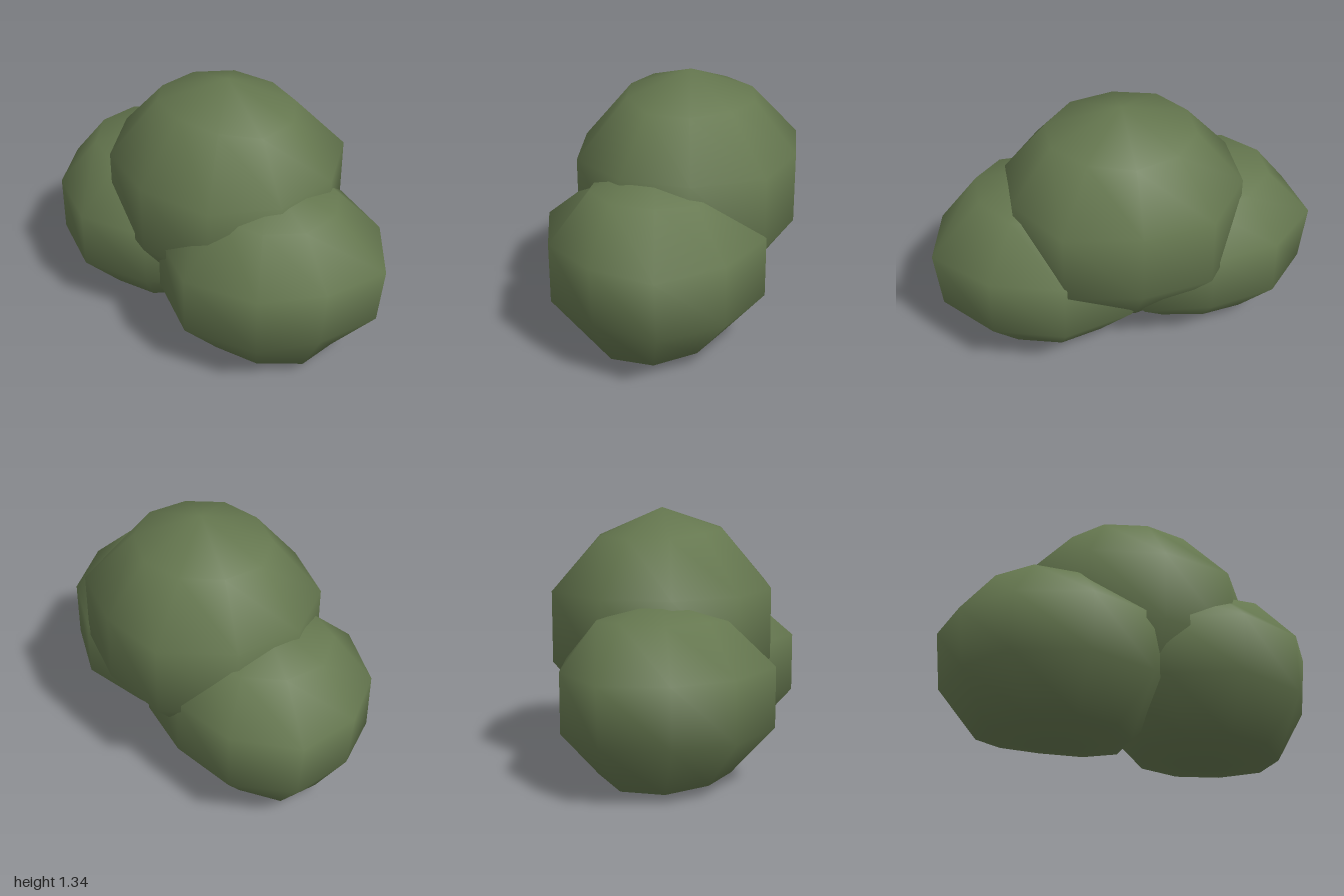
import * as THREE from 'three';

const leafGreen = new THREE.MeshStandardMaterial({ color: 0x65774f });
leafGreen.name = 'leafGreen';

// A rounded ten-sided clump. side is +1 or -1 for the outer lobes, 0 for the crown.
// Each dent is [direction, shift] and moves the corners around that direction.
function makeClump(name, center, size, side, dents) {
  const geometry = new THREE.SphereGeometry(1, 10, 5);
  geometry.rotateY(Math.PI / 2); // one column of corners faces the front
  const units = geometry.attributes.position.clone();
  geometry.scale(...size);

  const p = geometry.attributes.position;
  const unit = new THREE.Vector3(), v = new THREE.Vector3();
  for (let i = 0; i < p.count; i++) {
    unit.fromBufferAttribute(units, i);
    v.fromBufferAttribute(p, i);
    // Outermost corners lean outward towards the back and top
    if (unit.x * side > 0.85) v.x += side * (0.1 * v.y - 0.16 * v.z);
    for (const [direction, shift] of dents) {
      const dot = unit.dot(new THREE.Vector3(...direction).normalize());
      const weight = Math.max(0, (dot - 0.83) / 0.17);
      v.addScaledVector(new THREE.Vector3(...shift), weight);
    }
    // The underside of the lobes is flattened onto the ground
    if (side !== 0 && unit.y < -0.95) v.y = -center[1];
    p.setXYZ(i, v.x, v.y, v.z);
  }

  const mesh = new THREE.Mesh(geometry, leafGreen);
  mesh.name = name;
  mesh.position.set(...center);
  return mesh;
}

// The same dent on the upper and lower corner of a column
const column = (x, z, shift) => [[[x, 0.31, z], shift], [[x, -0.31, z], shift]];

export function createModel() {
  const bush = new THREE.Group();
  bush.name = 'bush';
  bush.add(
    makeClump('topFoliage', [0, 0.75, -0.045], [0.65, 0.59, 0.595], 0, [
      [[0, 1, 0], [0.01, 0, -0.015]],
      [[0, 0.81, -0.59], [0, -0.035, 0]],
      [[0, 0.81, 0.59], [0, 0.005, -0.04]],
      [[0.59, 0.81, 0], [0.015, -0.025, 0]],
      [[-0.59, 0.81, 0], [0.01, -0.025, 0]],
      ...column(0.56, -0.77, [0.02, 0, -0.04]),
      ...column(-0.56, -0.77, [0, 0, -0.04]),
      ...column(0.56, 0.77, [0.02, 0, 0.015]),
      ...column(-0.56, 0.77, [0, 0, 0.01]),
    ]),
    makeClump('leftFoliage', [0.385, 0.47, 0.02], [0.642, 0.5, 0.6], 1, [
      ...column(0.56, 0.77, [0, 0, -0.035]),
      ...column(-0.56, 0.77, [0, 0, -0.04]),
      ...column(0.86, 0.28, [-0.015, 0, -0.03]),
      ...column(0.86, -0.28, [0, 0, -0.015]),
      [[0, 0.81, 0.59], [0, -0.01, -0.04]],
      [[-0.35, 0.81, 0.47], [0, -0.03, -0.02]],
      [[0, 0.81, -0.59], [0, -0.03, 0.01]],
      [[-0.56, 0.31, -0.77], [0.03, -0.03, 0.02]],
      [[0.59, -0.81, 0], [0.03, -0.01, 0]],
    ]),
    makeClump('rightFoliage', [-0.4, 0.455, 0.035], [0.63, 0.49, 0.6], -1, [
      ...column(-0.56, 0.77, [0, 0, -0.02]),
      ...column(0.56, 0.77, [0, 0, -0.02]),
      ...column(0, -0.95, [0, 0, 0.08]),
      ...column(-0.56, -0.77, [0, 0, 0.05]),
      ...column(-0.86, -0.28, [0.01, 0, 0.02]),
      [[0, -0.81, -0.59], [0, 0.03, 0.04]],
      [[0, 0.81, -0.59], [0, -0.03, 0.03]],
      [[0.35, 0.81, 0.47], [0, -0.05, -0.03]],
      [[-0.59, 0.81, 0], [-0.025, 0, 0]],
      [[-0.59, -0.81, 0], [-0.03, -0.01, 0]],
    ]),
  );
  return bush;
}
